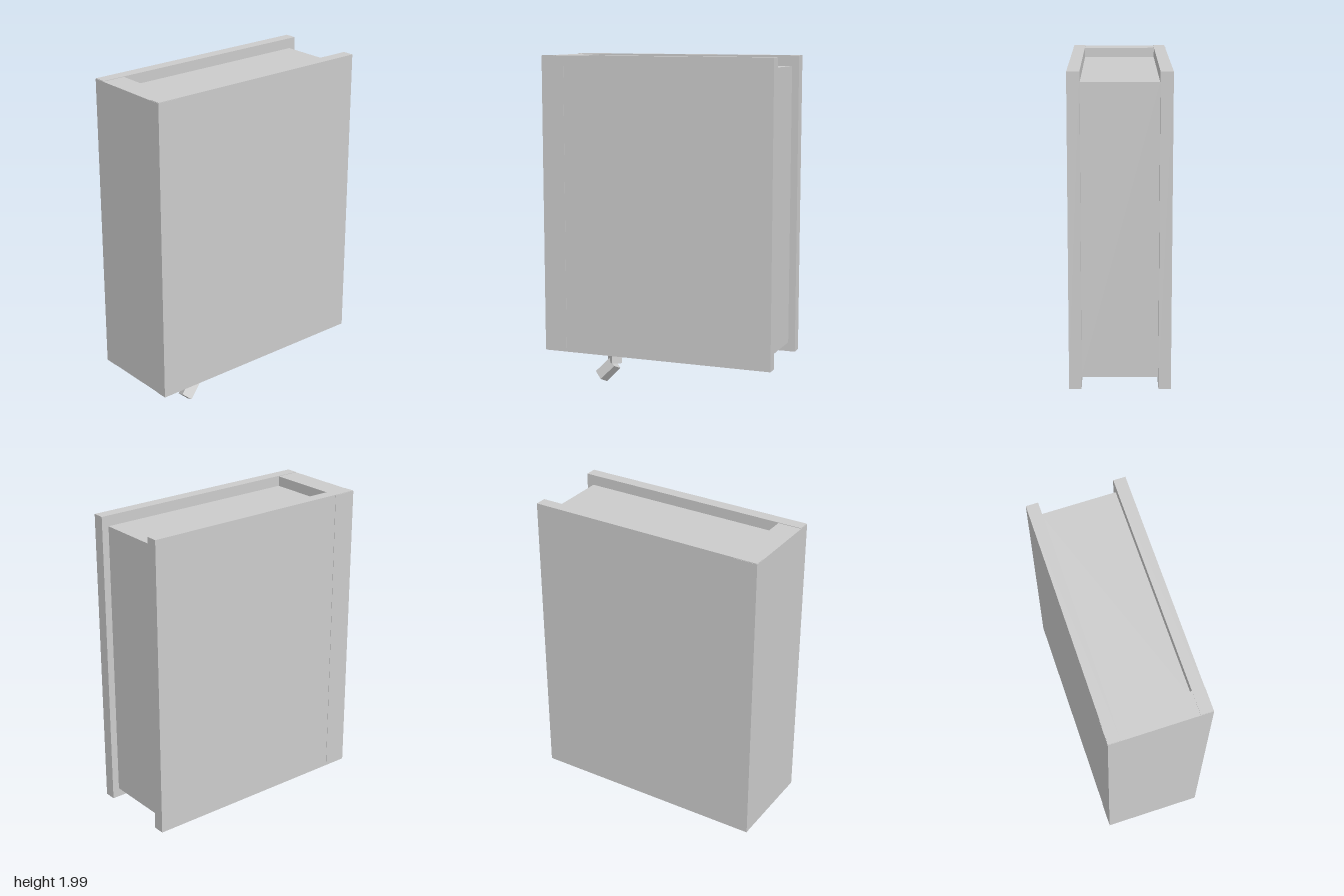
import * as THREE from 'three';

export function createModel() {
  const group = new THREE.Group();
  const grey = new THREE.MeshStandardMaterial({ color: 0xcccccc, flatShading: true });
  grey.name = 'plain grey';

  const add = (name, geometry) => {
    const mesh = new THREE.Mesh(geometry, grey);
    mesh.name = name;
    group.add(mesh);
    return mesh;
  };

  // Box given by its minimum and maximum corners
  const box = (name, [x0, y0, z0], [x1, y1, z1]) =>
    add(name, new THREE.BoxGeometry(x1 - x0, y1 - y0, z1 - z0))
      .position.set((x0 + x1) / 2, (y0 + y1) / 2, (z0 + z1) / 2);

  // Two boards, the spine joining them and the recessed page block
  box('frontCover', [-0.711, 0.222, 0.215], [0.711, 2, 0.285]);
  box('backCover', [-0.711, 0.222, -0.285], [0.711, 2, -0.215]);
  box('spine', [-0.713, 0.226, -0.287], [-0.573, 1.997, 0.287]);
  box('pages', [-0.6, 0.277, -0.216], [0.669, 1.938, 0.216]);

  // Bookmark ribbon: two square bars set on edge, bent below the pages
  const bar = (name, from, to) => {
    const a = new THREE.Vector3(...from);
    const along = new THREE.Vector3(...to).sub(a);
    const mesh = add(name, new THREE.CylinderGeometry(0.047, 0.047, along.length(), 4));
    mesh.position.copy(a).addScaledVector(along, 0.5);
    mesh.quaternion.setFromUnitVectors(new THREE.Vector3(0, 1, 0), along.normalize());
  };
  bar('bookmarkUpper', [-0.343, 0.3, 0.067], [-0.343, 0.128, 0.09]);
  bar('bookmarkLower', [-0.343, 0.125, 0.09], [-0.427, 0.038, 0.106]);

  return group;
}
